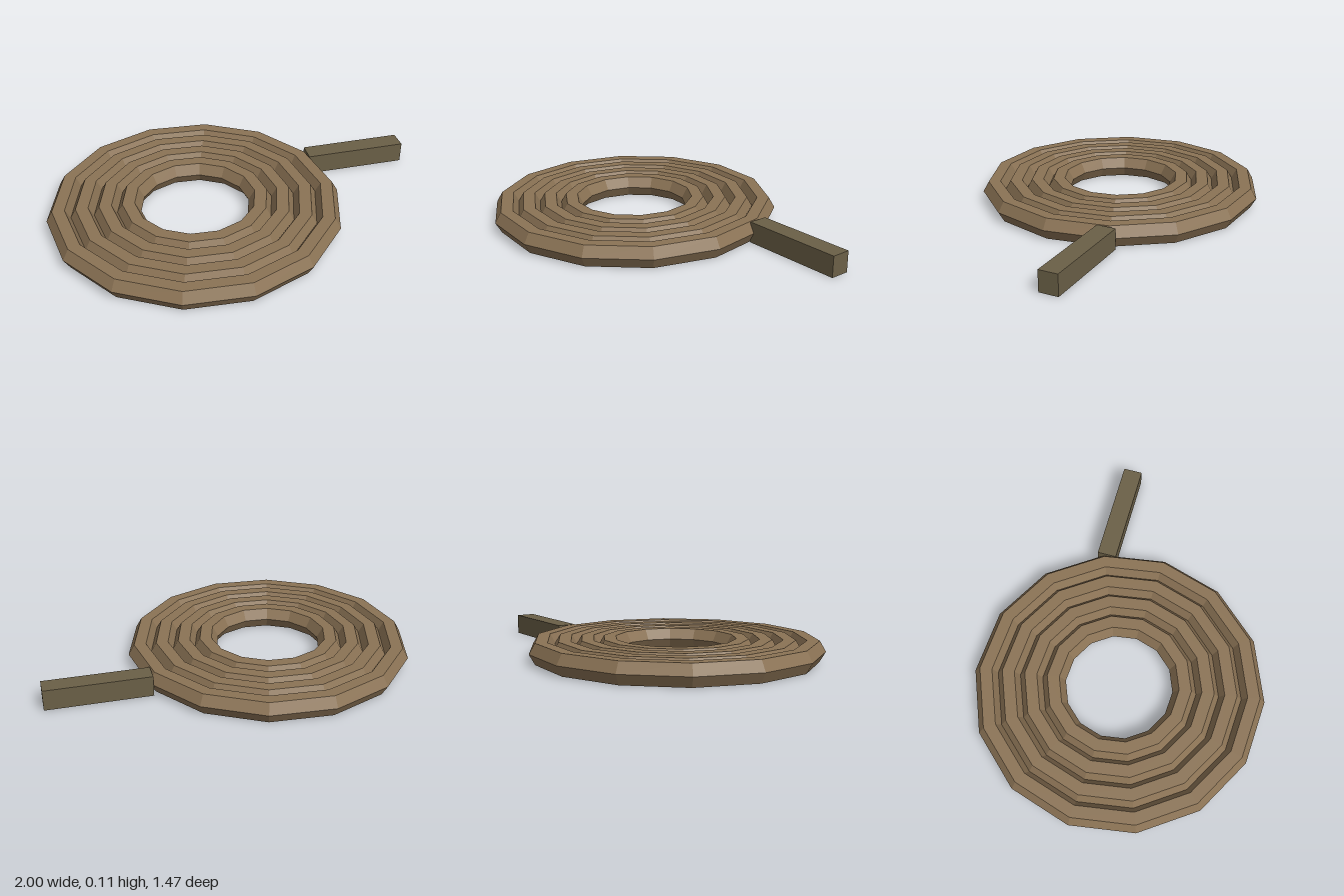
import * as THREE from 'three';

export function createModel() {
  const model = new THREE.Group();
  const ringMaterial = new THREE.MeshStandardMaterial({ color: 0x8b7355, flatShading: true });
  const handleMaterial = new THREE.MeshStandardMaterial({ color: 0x6b6047, flatShading: true });
  const tube = 0.0625;
  const midY = 0.054;

  // Four concentric rings: 14 sides around, hexagonal section, slightly overlapping
  const rings = new THREE.Group();
  rings.name = 'coilRings';
  rings.position.set(-0.249, midY, 0);
  for (let i = 0; i < 4; i++) {
    const geometry = new THREE.TorusGeometry(0.689 - i * 0.1165, tube, 6, 14);
    geometry.rotateX(Math.PI / 2);
    const ring = new THREE.Mesh(geometry, ringMaterial);
    ring.name = `ring${i + 1}`;
    rings.add(ring);
  }
  model.add(rings);

  // Straight end bar leaving the outer ring at an angle
  const start = new THREE.Vector2(0.481, 0.014);
  const end = new THREE.Vector2(0.981, 0.215);
  const bar = new THREE.Mesh(
    new THREE.BoxGeometry(start.distanceTo(end), 2 * midY, 0.1),
    handleMaterial
  );
  bar.name = 'handle';
  bar.position.set((start.x + end.x) / 2, midY, (start.y + end.y) / 2);
  bar.rotation.y = -Math.atan2(end.y - start.y, end.x - start.x);
  model.add(bar);

  return model;
}
